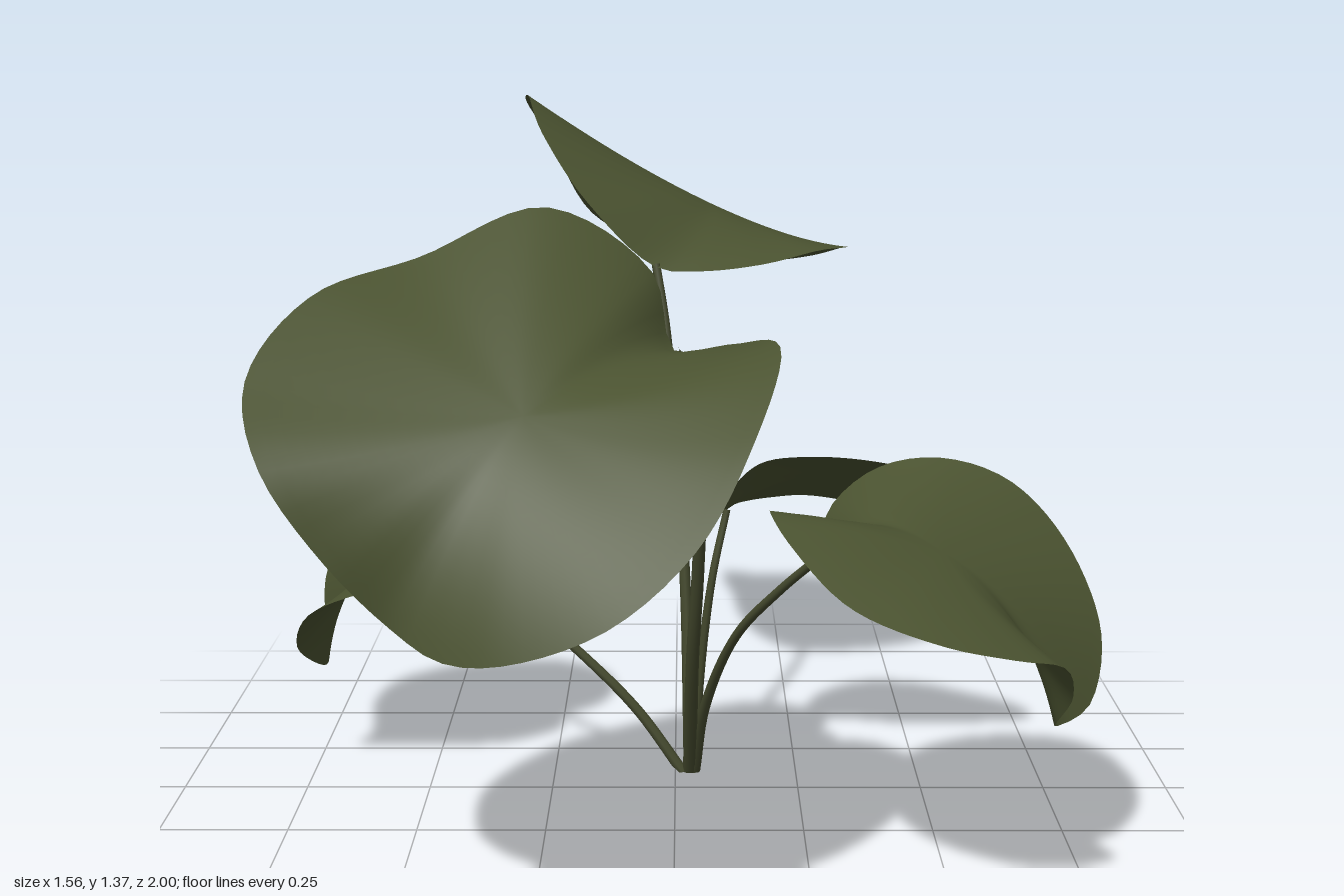
import * as THREE from 'three';

const leafGreen = new THREE.MeshStandardMaterial({ color: 0x4a5230, side: THREE.DoubleSide });
leafGreen.name = 'leaf green';
const stemGreen = new THREE.MeshStandardMaterial({ color: 0x454a2e });
stemGreen.name = 'stem green';

const vec = (p) => new THREE.Vector3(...p);

// Leaf blade: a smooth rim curve joined to a centre point. Near the centre the
// surface follows the rim's average plane, then bends out to meet the rim.
// A higher curl keeps the middle flat for longer and bends the edge harder.
function leafGeometry(centre, rim, curl, around = 80, rings = 16) {
  const curve = new THREE.CatmullRomCurve3(rim.map(vec), true, 'centripetal');
  const c = vec(centre);
  const edge = [], a = new THREE.Vector3(), b = new THREE.Vector3();
  for (let i = 0; i < around; i++) {
    const t = (i / around) * Math.PI * 2;
    const p = curve.getPointAt(i / around);
    edge.push(p);
    a.addScaledVector(p, (2 / around) * Math.cos(t));
    b.addScaledVector(p, (2 / around) * Math.sin(t));
  }
  const pos = [...centre], index = [];
  for (let j = 1; j <= rings; j++) {
    const r = j / rings;
    for (let i = 0; i < around; i++) {
      const t = (i / around) * Math.PI * 2;
      const flat = a.clone().multiplyScalar(Math.cos(t)).addScaledVector(b, Math.sin(t));
      const bend = edge[i].clone().sub(c).sub(flat);
      const p = c.clone().addScaledVector(flat, r).addScaledVector(bend, r ** curl);
      pos.push(p.x, p.y, p.z);
      const n = (i + 1) % around, outer = 1 + (j - 1) * around, inner = outer - around;
      if (j === 1) index.push(0, outer + i, outer + n);
      else index.push(inner + i, outer + i, outer + n, inner + i, outer + n, inner + n);
    }
  }
  const g = new THREE.BufferGeometry();
  g.setAttribute('position', new THREE.Float32BufferAttribute(pos, 3));
  g.setIndex(index);
  g.computeVertexNormals();
  return g;
}

// Stem: a tube that narrows towards the leaf
function stemGeometry(points, radius) {
  const curve = new THREE.CatmullRomCurve3(points.map(vec));
  const segments = 28, sides = 8;
  const g = new THREE.TubeGeometry(curve, segments, radius, sides, false);
  const pos = g.attributes.position, p = new THREE.Vector3();
  for (let i = 0; i <= segments; i++) {
    const mid = curve.getPointAt(i / segments);
    for (let k = 0; k <= sides; k++) {
      const n = i * (sides + 1) + k;
      p.fromBufferAttribute(pos, n).sub(mid).multiplyScalar(1.15 - 0.35 * (i / segments)).add(mid);
      pos.setXYZ(n, p.x, Math.max(p.y, 0), p.z);
    }
  }
  return g;
}

// Each rim starts at the notch where the stem joins
const leaves = {
  frontLarge: {
    centre: [-0.25, 0.905, 0.74],
    rim: [[0, 0.965, 0.41], [-0.04, 1.1, 0.36], [-0.23, 1.215, 0.345], [-0.45, 1.135, 0.43],
      [-0.62, 1.085, 0.56], [-0.71, 0.965, 0.74], [-0.67, 0.84, 0.87], [-0.57, 0.69, 0.88],
      [-0.46, 0.57, 0.865], [-0.38, 0.53, 0.91], [-0.27, 0.54, 0.965], [-0.1, 0.61, 1],
      [0.04, 0.73, 0.96], [0.13, 0.88, 0.86], [0.18, 1.01, 0.67], [0.1, 0.985, 0.47]],
    curl: 2,
    stem: [[0.03, 0, -0.1], [0.035, 0.3, 0.08], [0.045, 0.5, 0.17], [0.05, 0.75, 0.27],
      [0.03, 0.91, 0.35], [0, 0.965, 0.42]],
    radius: 0.0125,
  },
  backTall: {
    centre: [0.07, 1.138, -0.59],
    rim: [[-0.04, 1.04, -0.215], [-0.18, 1.17, -0.235], [-0.275, 1.3, -0.34], [-0.315, 1.37, -0.52],
      [-0.33, 1.35, -0.68], [-0.29, 1.26, -0.84], [-0.2, 1.08, -0.96], [-0.08, 1.01, -1],
      [0.05, 0.995, -0.985], [0.12, 0.98, -0.92], [0.2, 0.98, -0.84], [0.3, 1.005, -0.72],
      [0.365, 1.04, -0.58], [0.36, 1.055, -0.44], [0.3, 1.06, -0.34], [0.18, 1.04, -0.26],
      [0.05, 1.03, -0.225]],
    curl: 2.1,
    stem: [[0.03, 0, -0.1], [0.02, 0.4, -0.13], [0, 0.7, -0.16], [-0.02, 0.92, -0.2], [-0.04, 1.045, -0.225]],
    radius: 0.011,
  },
  frontLeft: {
    centre: [0.48, 0.615, 0.5],
    rim: [[0.27, 0.57, 0.33], [0.29, 0.64, 0.26], [0.38, 0.71, 0.22], [0.5, 0.73, 0.215],
      [0.63, 0.69, 0.225], [0.73, 0.59, 0.28], [0.785, 0.44, 0.4], [0.75, 0.33, 0.5],
      [0.68, 0.31, 0.56], [0.69, 0.4, 0.68], [0.66, 0.48, 0.77], [0.57, 0.51, 0.83],
      [0.45, 0.535, 0.835], [0.3, 0.575, 0.74], [0.2, 0.655, 0.6], [0.17, 0.69, 0.5], [0.2, 0.64, 0.4]],
    curl: 2.2,
    stem: [[0.04, 0, -0.1], [0.06, 0.17, 0], [0.12, 0.36, 0.14], [0.2, 0.48, 0.25], [0.28, 0.575, 0.34]],
    radius: 0.01,
  },
  backLeft: {
    centre: [0.33, 0.625, -0.1],
    rim: [[0.1, 0.56, -0.09], [0.11, 0.62, 0], [0.17, 0.69, 0.07], [0.26, 0.71, 0.11],
      [0.38, 0.7, 0.1], [0.5, 0.665, 0.06], [0.58, 0.615, 0], [0.6, 0.56, -0.1],
      [0.57, 0.525, -0.19], [0.5, 0.515, -0.26], [0.4, 0.52, -0.33], [0.28, 0.535, -0.345],
      [0.2, 0.54, -0.3], [0.13, 0.55, -0.2]],
    curl: 2.2,
    stem: [[0.04, 0, -0.1], [0.05, 0.2, -0.09], [0.075, 0.42, -0.075], [0.105, 0.56, -0.095]],
    radius: 0.009,
  },
  right: {
    centre: [-0.58, 0.485, -0.23],
    rim: [[-0.39, 0.43, -0.16], [-0.34, 0.5, -0.19], [-0.335, 0.57, -0.27], [-0.38, 0.615, -0.36],
      [-0.46, 0.62, -0.43], [-0.56, 0.56, -0.5], [-0.68, 0.46, -0.53], [-0.77, 0.34, -0.49],
      [-0.765, 0.23, -0.4], [-0.74, 0.21, -0.28], [-0.735, 0.205, -0.18], [-0.775, 0.27, -0.08],
      [-0.74, 0.36, 0], [-0.62, 0.42, 0.045], [-0.5, 0.435, 0.03], [-0.4, 0.44, -0.06]],
    curl: 2.4,
    stem: [[0.015, 0, -0.1], [-0.08, 0.13, -0.115], [-0.2, 0.25, -0.13], [-0.33, 0.36, -0.15], [-0.4, 0.44, -0.165]],
    radius: 0.01,
  },
};

export function createModel() {
  const plant = new THREE.Group();
  plant.name = 'plant';
  for (const [name, { centre, rim, curl, stem, radius }] of Object.entries(leaves)) {
    const blade = new THREE.Mesh(leafGeometry(centre, rim, curl), leafGreen);
    blade.name = name + 'Leaf';
    const stalk = new THREE.Mesh(stemGeometry(stem, radius), stemGreen);
    stalk.name = name + 'Stem';
    plant.add(blade, stalk);
  }
  return plant;
}
